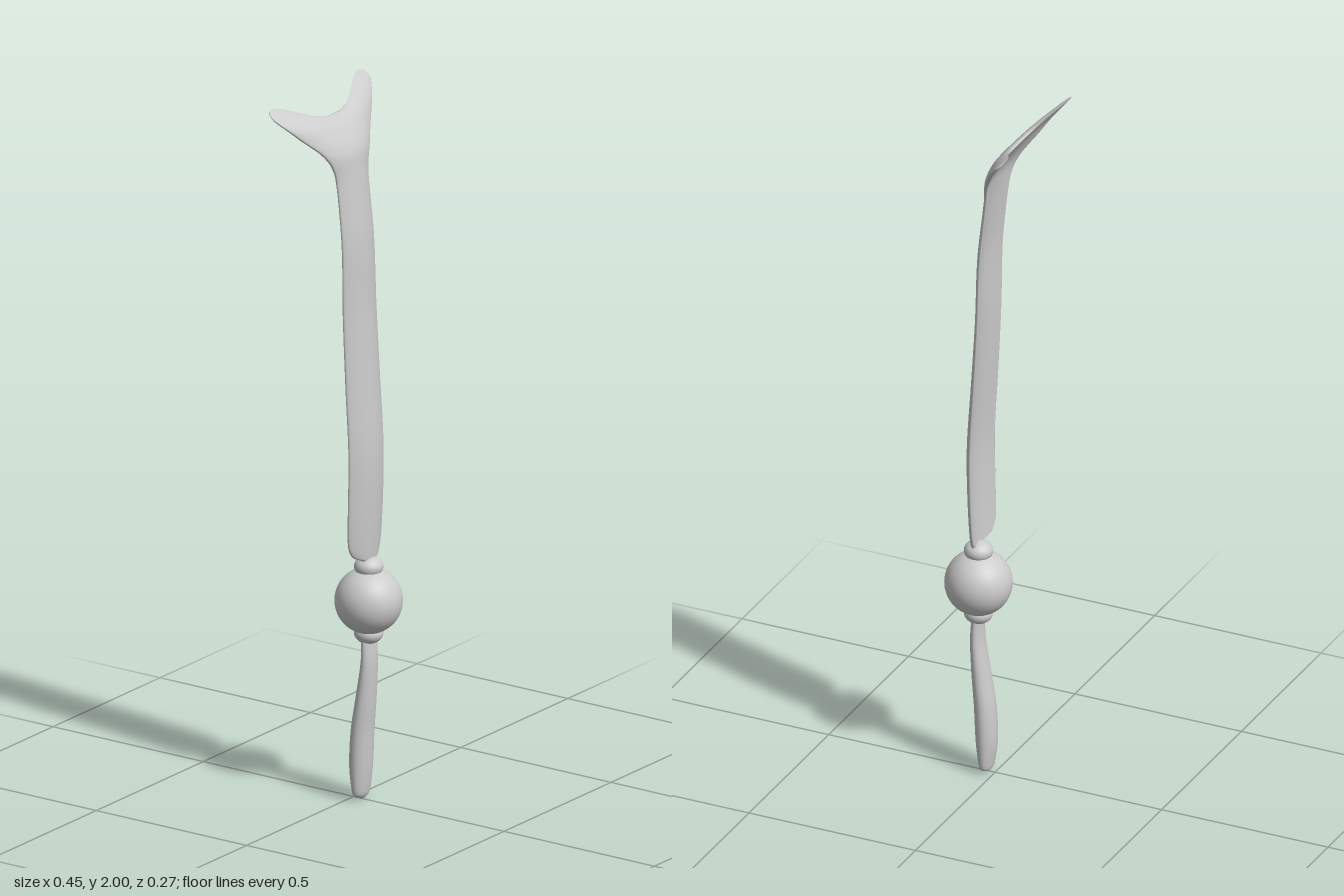
import * as THREE from 'three';

const material = new THREE.MeshStandardMaterial({ color: 0xcccccc, roughness: 0.7 });

// Smooth curve through rows of numbers, indexed 0..rows.length-1
function spline(rows, params = rows.map((_, i) => i)) {
  const size = rows[0].length;
  const f = new THREE.CubicInterpolant(params, rows.flat(), size, new Float32Array(size));
  return (t) => Array.from(f.evaluate(t));
}

// Closed skin over rings; point(row, angle) gives one ring point, rows run upward
function loft(name, rows, steps, sides, point) {
  const at = spline(rows);
  const n = (rows.length - 1) * steps;
  const pos = [], idx = [];
  for (let i = 0; i <= n; i++) {
    const row = at(i / steps);
    for (let j = 0; j < sides; j++) pos.push(...point(row, (j / sides) * Math.PI * 2));
  }
  for (let i = 0; i < n; i++) {
    for (let j = 0; j < sides; j++) {
      const a = i * sides + j, b = i * sides + ((j + 1) % sides);
      const c = a + sides, d = b + sides;
      idx.push(a, c, b, b, c, d);
    }
  }
  const geo = new THREE.BufferGeometry();
  geo.setAttribute('position', new THREE.Float32BufferAttribute(pos, 3));
  geo.setIndex(idx);
  geo.computeVertexNormals();
  const mesh = new THREE.Mesh(geo, material);
  mesh.name = name;
  return mesh;
}

function bead(name, y, rx, ry) {
  const mesh = new THREE.Mesh(new THREE.SphereGeometry(1, 48, 32), material);
  mesh.name = name;
  mesh.scale.set(rx, ry, rx);
  mesh.position.set(0, y, 0.05);
  return mesh;
}

export function createModel() {
  const group = new THREE.Group();
  group.name = 'forkedStick';

  // Handle: flattened grip, thicker toward the bottom
  // rows: y, half width, centre z, half depth
  const handle = [
    [0, 0, 0.03, 0],
    [0.01, 0.025, 0.025, 0.014],
    [0.03, 0.035, 0.025, 0.02],
    [0.1, 0.04, 0.025, 0.028],
    [0.2, 0.04, 0.03, 0.028],
    [0.3, 0.036, 0.042, 0.024],
    [0.4, 0.032, 0.052, 0.018],
    [0.48, 0.03, 0.05, 0.014],
  ];
  group.add(loft('handle', handle, 6, 32, ([y, hw, z, hd], a) =>
    [hw * Math.cos(a), y, z + hd * Math.sin(a)]));

  // Beads between handle and blade
  group.add(bead('lowerBead', 0.48, 0.04, 0.03));
  group.add(bead('ball', 0.573, 0.093, 0.093));
  group.add(bead('upperBead', 0.67, 0.04, 0.03));

  // Blade and fork: thin bowed strip, spreading into two swept-back horns
  const spineY = [0.68, 0.85, 1, 1.2, 1.4, 1.6, 1.7, 1.8, 1.85, 1.9, 1.945, 2.01];
  const spineZ = spline(
    [0.055, 0.064, 0.066, 0.053, 0.04, 0.033, 0.022, 0.008, -0.002, -0.03, -0.065, -0.14].map((z) => [z]),
    spineY,
  );
  // rows: centre y, edge x, edge y, backward bow, half thickness
  const blade = [
    [0.68, 0, 0.68, 0, 0],
    [0.685, 0.035, 0.695, 0.008, 0.006],
    [0.7, 0.06, 0.71, 0.018, 0.007],
    [0.74, 0.074, 0.75, 0.024, 0.007],
    [0.85, 0.078, 0.85, 0.026, 0.007],
    [1, 0.078, 1, 0.026, 0.007],
    [1.2, 0.077, 1.2, 0.024, 0.007],
    [1.4, 0.075, 1.4, 0.021, 0.007],
    [1.6, 0.072, 1.6, 0.02, 0.007],
    [1.75, 0.071, 1.75, 0.018, 0.007],
    [1.82, 0.079, 1.81, 0.016, 0.008],
    [1.86, 0.108, 1.86, 0.02, 0.01],
    [1.89, 0.16, 1.91, 0.022, 0.011],
    [1.92, 0.21, 1.96, 0.012, 0.011],
    [1.936, 0.225, 1.98, 0.004, 0.009],
    [1.943, 0.222, 1.995, 0, 0.006],
    [1.945, 0.205, 2, 0, 0],
  ];
  group.add(loft('forkedBlade', blade, 6, 64, ([yc, xe, ye, bow, thick], a) => {
    const u = Math.cos(a), s = Math.sin(a);
    const lift = THREE.MathUtils.smoothstep(Math.abs(u) ** 1.25, 0, 1);
    const y = yc + (ye - yc) * lift;
    const half = thick * Math.sign(s) * Math.sqrt(Math.abs(s));
    return [u * xe, y, spineZ(y)[0] - bow * u * u + half];
  }));

  return group;
}
